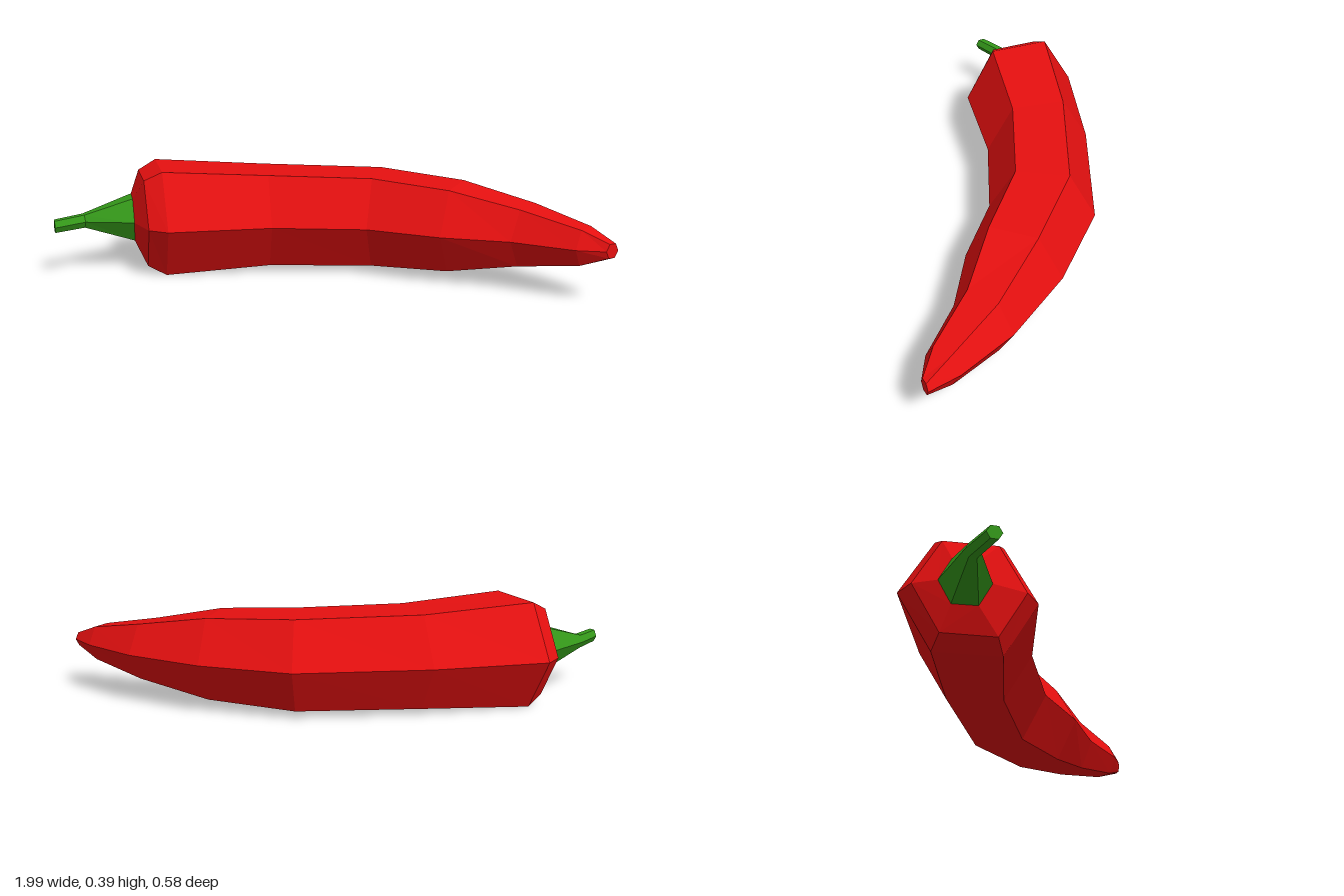
import * as THREE from 'three';

const SIDES = 6;
const MID_Y = 0.195;

// Each ring: [back x, back z, front x, front z, half height], listed from -x to +x
const podRings = [
  [-0.765, -0.105, -0.711, 0.055, 0.08],
  [-0.76, -0.19, -0.635, 0.15, 0.162],
  [-0.71, -0.25, -0.56, 0.172, 0.195],
  [-0.29, -0.292, -0.2, 0.09, 0.172],
  [0.2, -0.287, 0.14, 0.085, 0.166],
  [0.52, -0.155, 0.4, 0.165, 0.15],
  [0.77, 0.01, 0.64, 0.2, 0.103],
  [0.93, 0.17, 0.85, 0.28, 0.063],
  [0.993, 0.265, 0.95, 0.288, 0.025],
];
const stemRings = [
  [-1.0, 0.095, -0.98, 0.14, 0.022],
  [-0.92, 0.015, -0.893, 0.058, 0.024],
  [-0.765, -0.105, -0.711, 0.055, 0.08],
];

// Skin six-sided rings into a closed, faceted body
function loft(rings) {
  const positions = [];
  for (const [bx, bz, fx, fz, h] of rings) {
    for (let i = 0; i < SIDES; i++) {
      const a = (i / SIDES) * Math.PI * 2;
      const t = 0.5 + 0.5 * Math.cos(a);
      positions.push(
        bx + (fx - bx) * t,
        MID_Y + (h * Math.sin(a)) / Math.sin(Math.PI / 3),
        bz + (fz - bz) * t
      );
    }
  }
  const index = [];
  const last = (rings.length - 1) * SIDES;
  for (let r = 0; r < last; r += SIDES) {
    for (let i = 0; i < SIDES; i++) {
      const j = (i + 1) % SIDES;
      const a = r + i, b = r + j, c = a + SIDES, d = b + SIDES;
      index.push(a, c, b, b, c, d);
    }
  }
  // End caps
  for (let i = 1; i < SIDES - 1; i++) {
    index.push(0, i, i + 1, last, last + i + 1, last + i);
  }
  const indexed = new THREE.BufferGeometry();
  indexed.setAttribute('position', new THREE.Float32BufferAttribute(positions, 3));
  indexed.setIndex(index);
  const geometry = indexed.toNonIndexed();
  geometry.computeVertexNormals();
  return geometry;
}

export function createModel() {
  const red = new THREE.MeshStandardMaterial({ color: 0xe61010 });
  red.name = 'pepperRed';
  const green = new THREE.MeshStandardMaterial({ color: 0x35991a });
  green.name = 'stemGreen';

  const group = new THREE.Group();
  group.name = 'chilliPepper';

  const pod = new THREE.Mesh(loft(podRings), red);
  pod.name = 'pod';
  const stem = new THREE.Mesh(loft(stemRings), green);
  stem.name = 'stem';
  group.add(pod, stem);
  return group;
}
